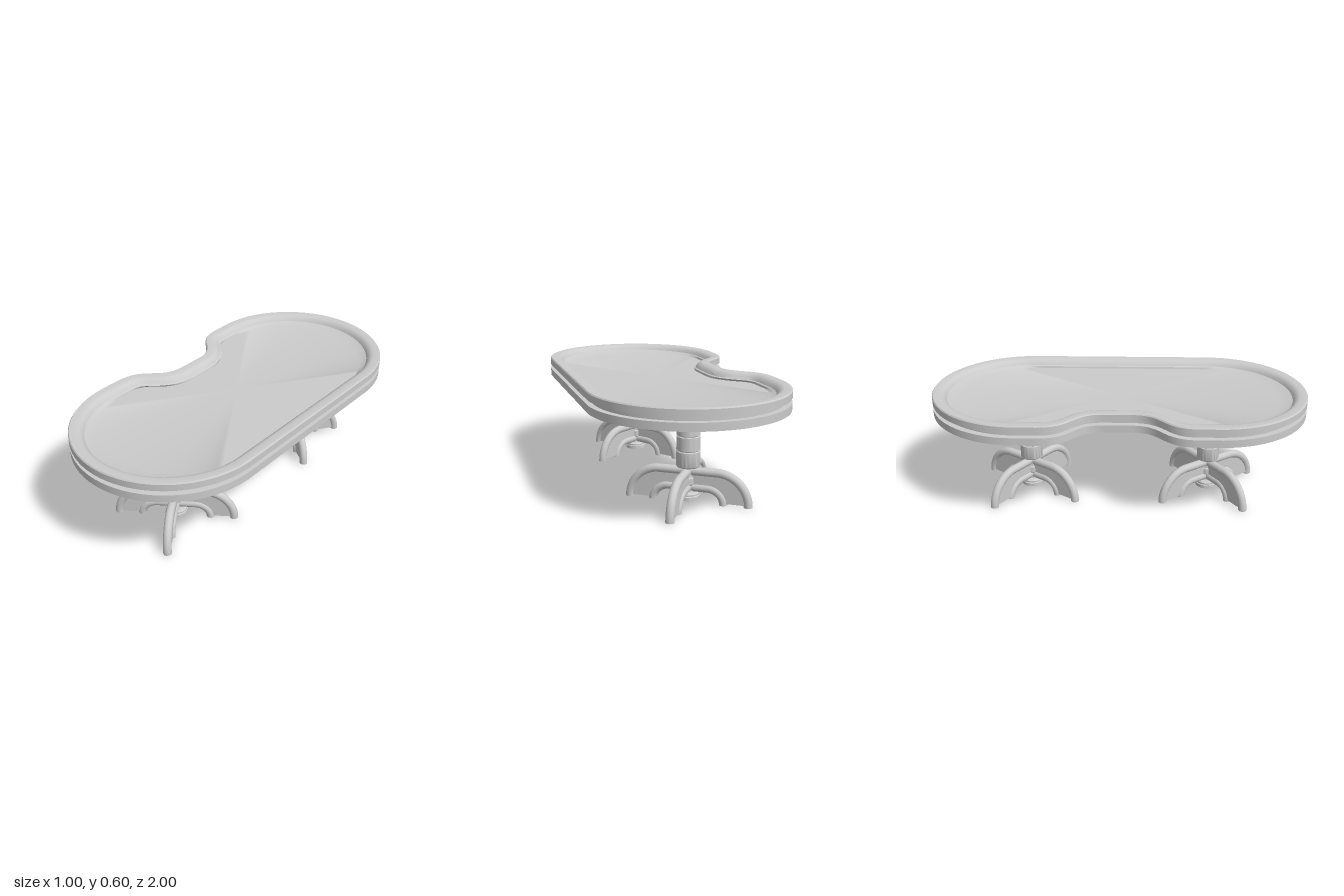
import * as THREE from 'three';
import { toCreasedNormals } from 'three/addons/utils/BufferGeometryUtils.js';

const material = new THREE.MeshStandardMaterial({ color: 0xcccccc });

function part(name, geometry, parent) {
  const mesh = new THREE.Mesh(geometry, material);
  mesh.name = name;
  parent.add(mesh);
  return mesh;
}

// Plan of the table top: an oval with a smooth notch in its -x side (x, z)
function tableOutline() {
  const p = new THREE.Path();
  p.moveTo(0.5, -0.5);
  p.lineTo(0.5, 0.5);
  p.absarc(0, 0.5, 0.5, 0, Math.PI, false);
  p.lineTo(-0.5, 0.4);
  p.bezierCurveTo(-0.5, 0.2, -0.34, 0.24, -0.34, 0.07);
  p.lineTo(-0.34, -0.07);
  p.bezierCurveTo(-0.34, -0.24, -0.5, -0.2, -0.5, -0.4);
  p.lineTo(-0.5, -0.5);
  p.absarc(0, -0.5, 0.5, Math.PI, 2 * Math.PI, false);
  return p.getSpacedPoints(240).slice(0, -1);
}

// Sweep a profile of [inset, y, zScale] rings round the outline; null inset closes to a point
function outlineLoft(profile) {
  const pts = tableOutline();
  const n = pts.length;
  const position = [];
  const index = [];
  for (const [inset, y, zScale = 1] of profile) {
    for (let i = 0; i < n; i++) {
      if (inset === null) {
        position.push(0, y, 0);
        continue;
      }
      const t = pts[(i + 1) % n].clone().sub(pts[(i + n - 1) % n]).normalize();
      position.push(pts[i].x - t.y * inset, y, (pts[i].y + t.x * inset) * zScale);
    }
  }
  for (let r = 0; r < profile.length - 1; r++) {
    for (let i = 0; i < n; i++) {
      const a = r * n + i;
      const b = r * n + (i + 1) % n;
      if (profile[r + 1][0] !== null) index.push(a, a + n, b + n);
      if (profile[r][0] !== null) index.push(a, b + n, b);
    }
  }
  const g = new THREE.BufferGeometry();
  g.setAttribute('position', new THREE.Float32BufferAttribute(position, 3));
  g.setIndex(index);
  return toCreasedNormals(g, 0.6);
}

// Line of a leg rail: flat out of the column, then a quarter ellipse to the floor
function railPoints(height, bend, reach) {
  const p = new THREE.Path();
  p.moveTo(0, height);
  p.lineTo(bend, height);
  p.absellipse(bend, 0, reach - bend, height, Math.PI / 2, 0, true);
  return p.getSpacedPoints(40);
}

function createLeg() {
  const leg = new THREE.Group();
  leg.name = 'leg';
  const radius = 0.022;
  const outer = railPoints(0.161, 0.15, 0.308);
  const inner = railPoints(0.078, 0.1, 0.183);
  for (const [name, pts] of [['outerRail', outer], ['innerRail', inner]]) {
    const curve = new THREE.CatmullRomCurve3(pts.map((p) => new THREE.Vector3(p.x, p.y, 0)));
    part(name, new THREE.TubeGeometry(curve, 48, radius, 14), leg);
    const sole = part(name + 'Sole', new THREE.CircleGeometry(radius, 14), leg);
    sole.rotation.x = Math.PI / 2;
    sole.position.x = pts[pts.length - 1].x;
  }
  // Thin web between the rails, ending just above the floor
  const edge = [...outer, ...inner.slice().reverse()];
  const shape = new THREE.Shape(edge.map((p) => new THREE.Vector2(p.x, Math.max(p.y, 0.01))));
  const web = new THREE.ExtrudeGeometry(shape, { depth: 0.024, bevelEnabled: false });
  web.translate(0, 0, -0.012);
  part('legWeb', web, leg);
  return leg;
}

function columnGeometry() {
  const profile = [
    [0, 0.02], [0.06, 0.02], [0.06, 0.038], [0.056, 0.041], [0.056, 0.05], [0.048, 0.056],
    [0.028, 0.058], [0.028, 0.09], [0.034, 0.096], [0.034, 0.126], [0.028, 0.132],
    [0.025, 0.175], [0.035, 0.182], [0.054, 0.184],
  ];
  // Four drums with narrow grooves between them
  for (const [low, high] of [[0.19, 0.264], [0.272, 0.341], [0.349, 0.418], [0.426, 0.498]]) {
    profile.push([0.055, low - 0.004], [0.06, low], [0.06, high], [0.055, high + 0.004]);
  }
  const pts = profile.map(([x, y]) => new THREE.Vector2(x, y));
  return toCreasedNormals(new THREE.LatheGeometry(pts, 40), 0.5);
}

function createPedestal(side) {
  const pedestal = new THREE.Group();
  pedestal.name = side > 0 ? 'frontPedestal' : 'backPedestal';
  part('column', columnGeometry(), pedestal);
  for (let i = 0; i < 4; i++) {
    const leg = createLeg();
    leg.rotation.y = -side * THREE.MathUtils.degToRad(55 + 90 * i);
    pedestal.add(leg);
  }
  pedestal.position.set(-0.007, 0, side * 0.4925);
  return pedestal;
}

export function createModel() {
  const model = new THREE.Group();
  model.name = 'table';
  // Two slabs with a recessed band between, a raised rim and a sunken playing floor
  part('tableTop', outlineLoft([
    [null, 0.493], [0, 0.493], [0, 0.532], [0.032, 0.532], [0.032, 0.556], [0, 0.556],
    [0, 0.59], [0.005, 0.596], [0.04, 0.596], [0.055, 0.591], [0.068, 0.58], [0.076, 0.566],
    [0.085, 0.562, 0.995], [0.088, 0.552, 0.935], [null, 0.552],
  ]), model);
  model.add(createPedestal(1), createPedestal(-1));
  return model;
}
